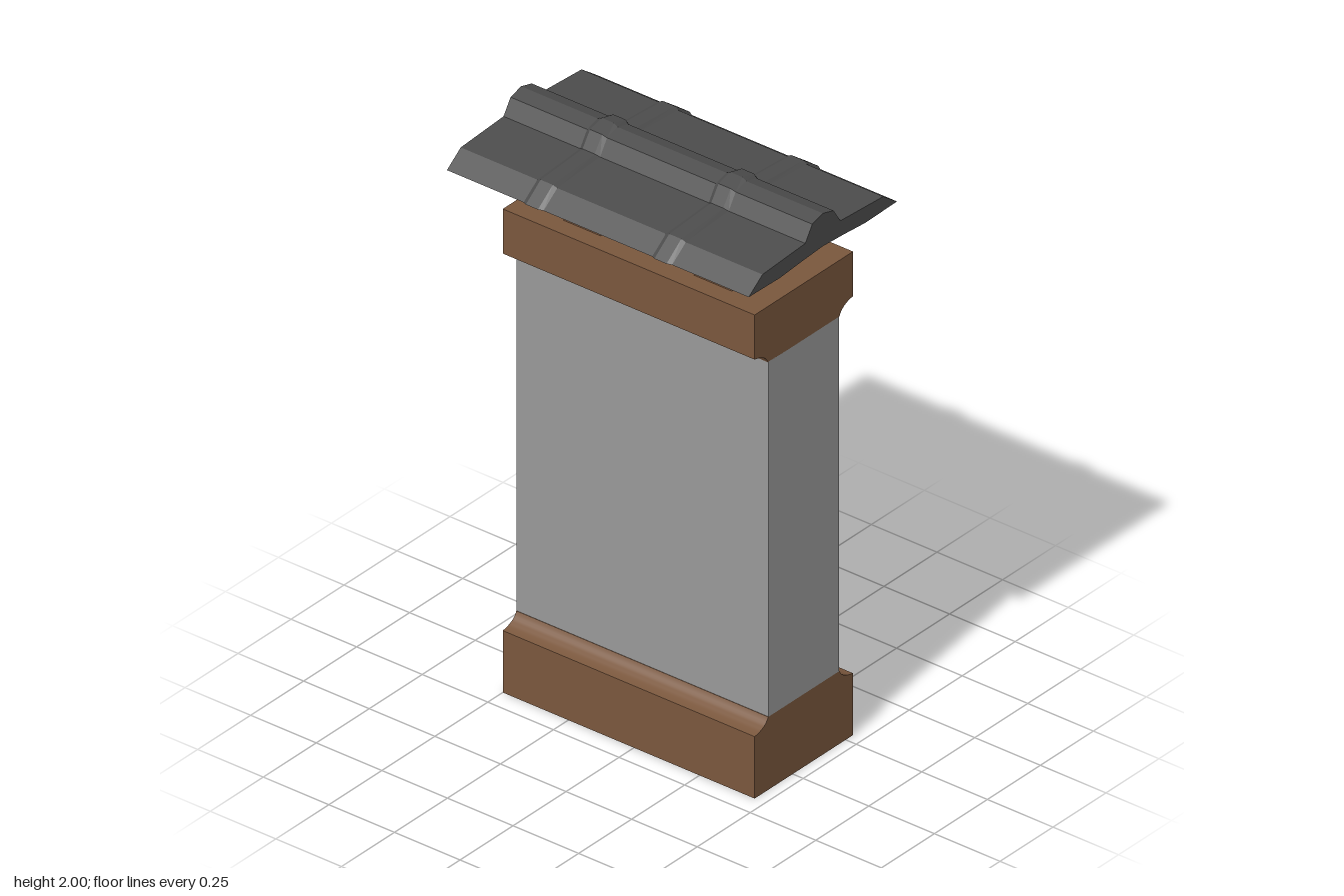
import * as THREE from 'three';
import { toCreasedNormals } from 'three/addons/utils/BufferGeometryUtils.js';

export function createModel() {
  const model = new THREE.Group();
  model.name = 'roofedPillar';
  const mat = (name, color) => {
    const m = new THREE.MeshStandardMaterial({ color });
    m.name = name;
    return m;
  };
  const wood = mat('brown wood', 0x7a573d);
  const stone = mat('grey plaster', 0x999999);
  const tile = mat('dark roof tile', 0x4d4d4d);
  const add = (name, geometry, material, x = 0, y = 0, z = 0) => {
    const m = new THREE.Mesh(geometry, material);
    m.name = name;
    m.position.set(x, y, z);
    model.add(m);
    return m;
  };

  // Wall panel between the two mouldings
  const CX = 0.0525, CZ = -0.02, LEN = 0.96;
  add('wall', new THREE.BoxGeometry(0.333, 1.24, LEN), stone, CX, 0.867, CZ);

  // Slab with concave coves along both long sides; dir = 1 tapers upward
  const slab = (name, yFlat, yStep, yNeck, dir) => {
    const w = 0.232, n = 0.168, bend = yStep + dir * 0.007;
    const s = new THREE.Shape();
    s.moveTo(-w, yFlat);
    s.lineTo(w, yFlat);
    s.lineTo(w, yStep);
    s.quadraticCurveTo(n + 0.013, bend, n, yNeck);
    s.lineTo(-n, yNeck);
    s.quadraticCurveTo(-n - 0.013, bend, -w, yStep);
    s.closePath();
    const g = new THREE.ExtrudeGeometry(s, { depth: LEN, bevelEnabled: false, curveSegments: 8 });
    add(name, toCreasedNormals(g, 0.5), wood, CX, 0, CZ - LEN / 2);
  };
  slab('base', 0, 0.215, 0.253, 1);
  slab('cornice', 1.68, 1.525, 1.485, -1);

  // Posts under the roof, drawn as (z, y) profiles with bulging faces
  const post = (name, zBack, zFront, bulgeFront) => {
    const b = 0.016, f = bulgeFront ? b : 0;
    const pts = [
      [zBack, 1.675], [zFront, 1.675], [zFront, 1.705], [zFront + f, 1.735], [zFront + f, 1.81],
      [zFront, 1.84], [zFront, 1.885], [zBack, 1.885], [zBack, 1.84], [zBack - b, 1.81],
      [zBack - b, 1.735], [zBack, 1.705],
    ].map(p => new THREE.Vector2(...p));
    const g = new THREE.ExtrudeGeometry(new THREE.Shape(pts), { depth: 0.233, bevelEnabled: false });
    g.rotateY(-Math.PI / 2);
    add(name, g, wood, 0.1165);
  };
  post('frontPost', 0.178, 0.322, false);
  post('backPost', -0.32, -0.177, true);

  // Rails joining the posts
  for (const [name, y] of [['lowerRail', 1.732], ['upperRail', 1.834]])
    add(name, new THREE.BoxGeometry(0.1, 0.032, 0.38), wood, 0, y, 0);

  // Roof: half profiles of the plain tile and of the raised rib, mirrored and swept along z
  const underside = [[0, 1.878], [0.1, 1.872], [0.2, 1.864]];
  const plain = [[0.35, 1.867], [0.285, 1.915], [0.083, 1.927], [0.05, 1.978], [0, 1.992]];
  const ribbed = [[0.358, 1.869], [0.288, 1.922], [0.09, 1.935], [0.055, 1.986], [0, 2]];
  const loop = top => {
    const right = [...underside, ...top];
    return [...right, ...right.slice(1, -1).reverse().map(([x, y]) => [-x, y])];
  };
  const A = loop(plain), B = loop(ribbed);
  const stations = [[-0.575, A]];
  for (const c of [-0.245, 0.245])
    stations.push([c - 0.038, A], [c - 0.023, B], [c + 0.023, B], [c + 0.038, A]);
  stations.push([0.575, A]);

  const pos = [];
  const tri = (...v) => v.forEach(p => pos.push(...p));
  for (let i = 0; i < stations.length - 1; i++) {
    const [z0, P] = stations[i], [z1, Q] = stations[i + 1];
    P.forEach((p, j) => {
      const k = (j + 1) % P.length;
      const a = [...p, z0], b = [...P[k], z0], c = [...Q[k], z1], d = [...Q[j], z1];
      tri(a, b, c);
      tri(a, c, d);
    });
  }
  // End caps
  for (const [a, b, c] of THREE.ShapeUtils.triangulateShape(A.map(p => new THREE.Vector2(...p)), [])) {
    tri([...A[a], 0.575], [...A[b], 0.575], [...A[c], 0.575]);
    tri([...A[c], -0.575], [...A[b], -0.575], [...A[a], -0.575]);
  }
  const roof = new THREE.BufferGeometry();
  roof.setAttribute('position', new THREE.Float32BufferAttribute(pos, 3));
  roof.computeVertexNormals();
  add('roof', roof, tile);

  return model;
}
